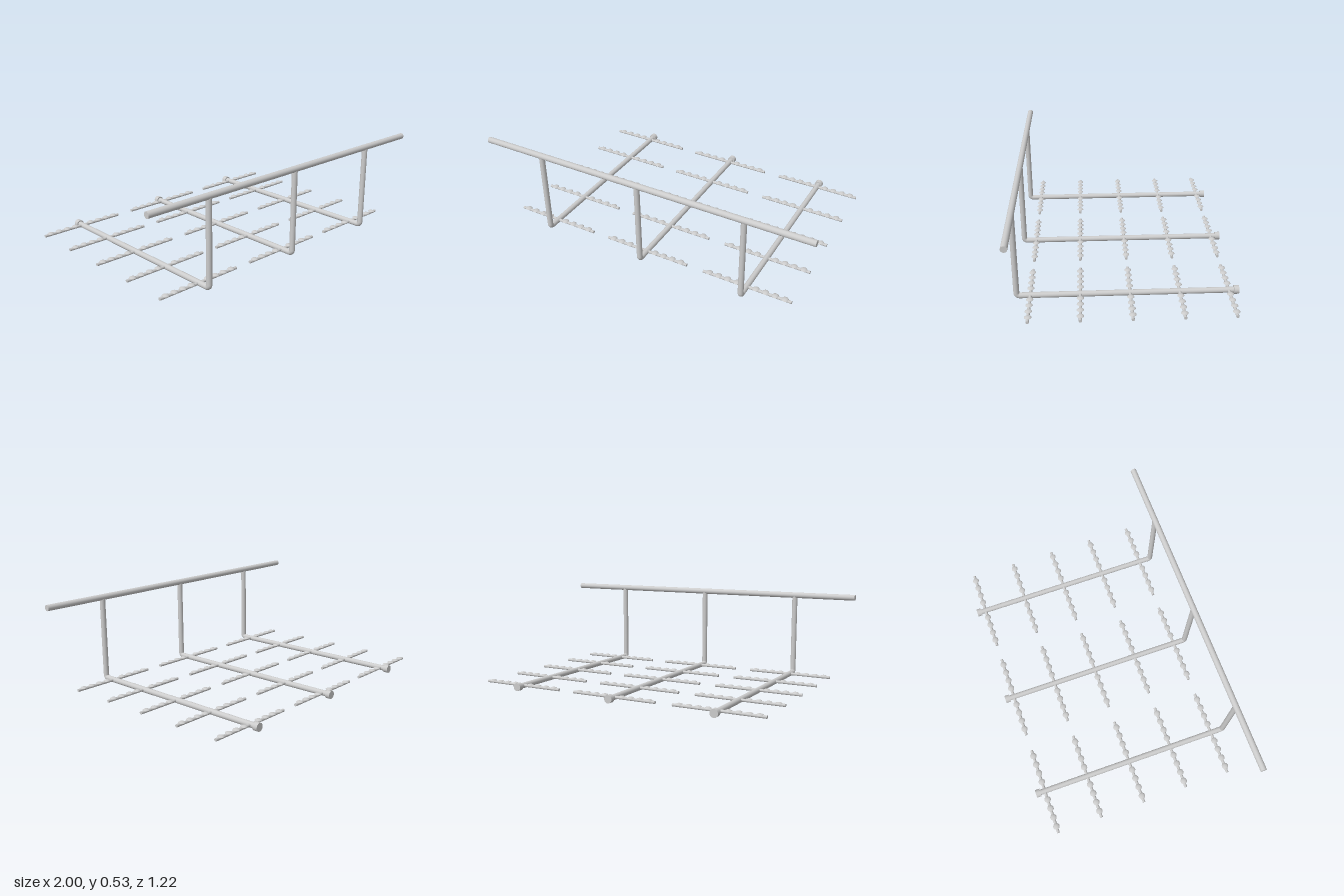
import * as THREE from 'three';

const material = new THREE.MeshStandardMaterial({ color: 0xcccccc });
const shellMaterial = new THREE.MeshStandardMaterial({ color: 0xcccccc, side: THREE.DoubleSide });

const PIPE_Y = 0.0235, FRONT_Z = 0.592, BACK_Z = -0.609, HEADER_Y = 0.514;
const PIPE_R = 0.016, BEND = 0.018;

function add(parent, name, geometry, x = 0, y = 0, z = 0, mat = material) {
  const mesh = new THREE.Mesh(geometry, mat);
  mesh.name = name;
  mesh.position.set(x, y, z);
  parent.add(mesh);
  return mesh;
}

// Closed round bar along a chosen axis
function bar(radius, length, axis, sides = 24) {
  const g = new THREE.CylinderGeometry(radius, radius, length, sides);
  if (axis === 'x') g.rotateZ(Math.PI / 2);
  if (axis === 'z') g.rotateX(Math.PI / 2);
  return g;
}

// Shallow domed disc, hollow underneath
const domeProfile = [[0.0195, 0.031], [0.0175, 0.034], [0.013, 0.0368], [0.007, 0.0385], [0, 0.039]]
  .map(([r, y]) => new THREE.Vector2(r, y));
const domeGeometry = new THREE.LatheGeometry(domeProfile, 16);
const armGeometry = bar(0.0085, 0.52, 'x', 12);

// Side arm carrying four domes on either side of the pipe
function createArm(z) {
  const arm = new THREE.Group();
  arm.name = 'diffuserArm';
  arm.position.z = z;
  add(arm, 'armTube', armGeometry, 0, 0.025, 0);
  for (const side of [-1, 1]) {
    for (let i = 1; i <= 4; i++) add(arm, 'diffuserDome', domeGeometry, side * i * 0.0555, 0, 0, shellMaterial);
  }
  return arm;
}

// One branch: drop pipe, elbow, floor pipe, end cap and five arms
function createBranch(x) {
  const branch = new THREE.Group();
  branch.name = 'branch';
  branch.position.x = x;

  const dropBottom = PIPE_Y + BEND;
  const dropLength = HEADER_Y - dropBottom;
  add(branch, 'dropPipe', bar(PIPE_R, dropLength, 'y'), 0, dropBottom + dropLength / 2, FRONT_Z);

  const elbow = new THREE.TorusGeometry(BEND, PIPE_R, 24, 10, Math.PI / 2);
  elbow.rotateZ(-Math.PI / 2).rotateY(-Math.PI / 2);
  add(branch, 'elbow', elbow, 0, PIPE_Y + BEND, FRONT_Z - BEND);

  const floorFront = FRONT_Z - BEND, floorBack = BACK_Z + 0.01;
  add(branch, 'floorPipe', bar(PIPE_R, floorFront - floorBack, 'z'), 0, PIPE_Y, (floorFront + floorBack) / 2);
  add(branch, 'endCap', bar(0.0235, 0.028, 'z'), 0, PIPE_Y, BACK_Z + 0.014);

  for (let i = 0; i < 5; i++) branch.add(createArm(0.518 - i * 0.268));
  return branch;
}

export function createModel() {
  const model = new THREE.Group();
  model.name = 'diffuserGrid';
  // Overhead header pipe feeding the three branches
  add(model, 'headerPipe', bar(0.0175, 2, 'x', 32), 0, HEADER_Y, FRONT_Z);
  for (const x of [-0.623, 0, 0.623]) model.add(createBranch(x));
  return model;
}
